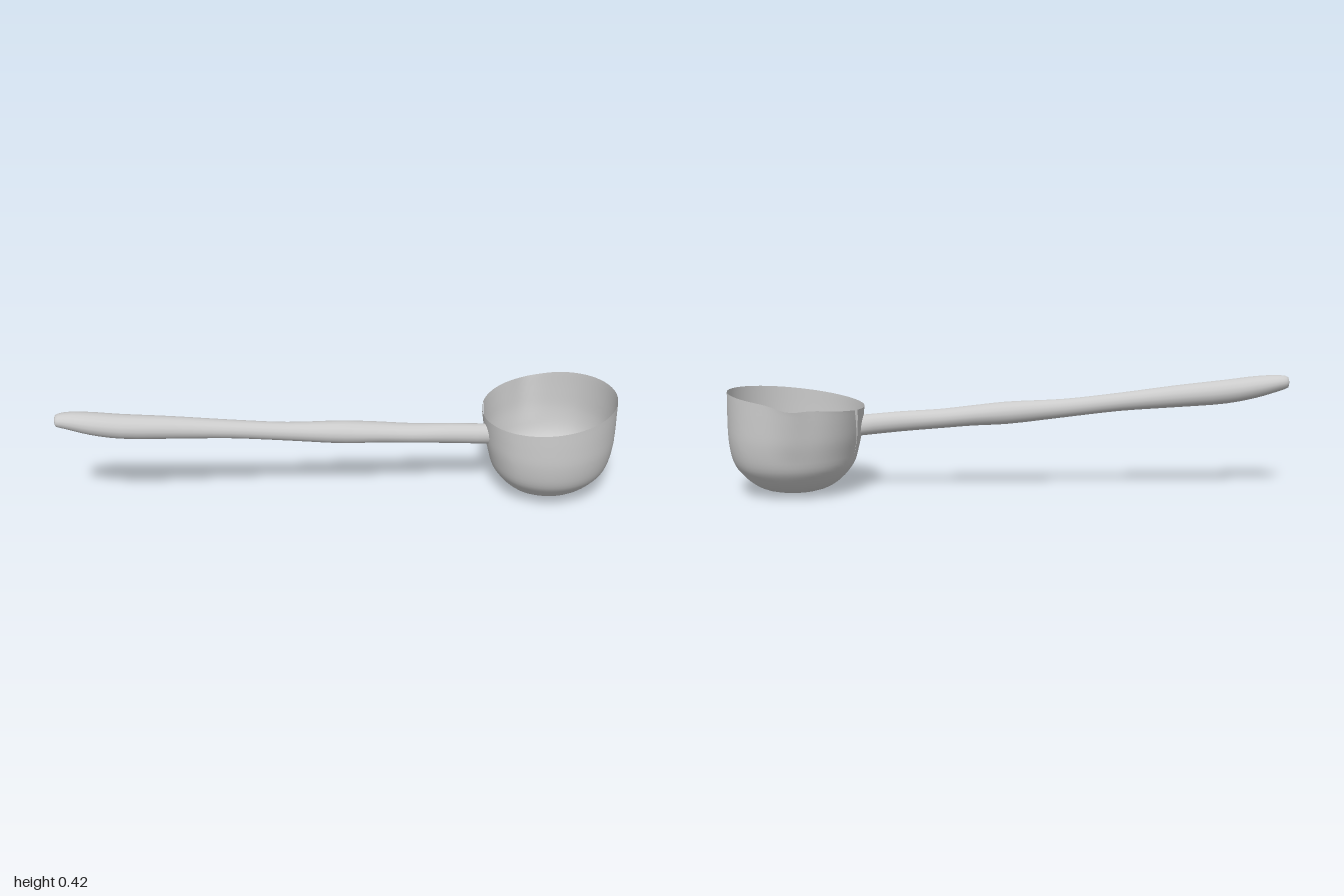
import * as THREE from 'three';
import { mergeVertices } from 'three/addons/utils/BufferGeometryUtils.js';

const material = new THREE.MeshStandardMaterial({ color: 0xcccccc, side: THREE.DoubleSide });

// Smooth surface from a grid of points: rows x columns, seams welded where they touch
function gridMesh(name, rows, cols, point) {
  const positions = [], index = [];
  for (let i = 0; i <= rows; i++)
    for (let j = 0; j <= cols; j++) positions.push(...point(i / rows, j / cols));
  for (let i = 0; i < rows; i++)
    for (let j = 0; j < cols; j++) {
      const a = i * (cols + 1) + j, b = a + cols + 1;
      index.push(a, a + 1, b, a + 1, b + 1, b);
    }
  let geometry = new THREE.BufferGeometry();
  geometry.setAttribute('position', new THREE.Float32BufferAttribute(positions, 3));
  geometry.setIndex(index);
  geometry = mergeVertices(geometry, 1e-5);
  geometry.computeVertexNormals();
  const mesh = new THREE.Mesh(geometry, material);
  mesh.name = name;
  return mesh;
}

// Angular bump centred on the pouring lip at the back
const rad = THREE.MathUtils.degToRad;
function lip(angle, width) {
  const d = Math.atan2(Math.sin(angle - rad(92)), Math.cos(angle - rad(92)));
  return Math.exp(-((d / rad(width)) ** 2));
}

// Thin bowl: round base, slanted rim, pointed lip and a crack beside the handle
function createBowl() {
  const profile = new THREE.CatmullRomCurve3([
    [0, 0.003], [0.2, 0.006], [0.57, 0.03], [0.81, 0.078], [0.93, 0.125],
    [0.99, 0.2], [1, 0.27], [1, 0.34],
  ].map(([r, y]) => new THREE.Vector3(r, y, 0)));
  return gridMesh('bowl', 28, 64, (v, u) => {
    const p = profile.getPoint(v);
    const up = THREE.MathUtils.clamp((p.y - 0.15) / 0.19, 0, 1);
    const gap = 0.09 * up;
    const angle = rad(171) - rad(13) * up + gap / 2 + u * (2 * Math.PI - gap);
    const base = 0.244 - 0.03 * Math.max(0, Math.cos(angle - rad(135)));
    const rim = 0.242 - 0.012 * lip(angle, 50) + 0.018 * lip(angle, 12);
    const r = p.x * THREE.MathUtils.lerp(base, rim, up);
    const x = r * Math.cos(angle);
    const y = p.y + up * up * (0.125 * x - 0.012 * lip(angle, 14));
    return [0.75 + x, y, -r * Math.sin(angle)];
  });
}

// Handle: oval sections given as x, bottom, top, back, front
function createHandle() {
  const sections = [
    [-1, 0.395, 0.4, -0.02, -0.015], [-0.995, 0.38, 0.418, -0.04, 0.002],
    [-0.96, 0.367, 0.425, -0.055, 0.012], [-0.88, 0.342, 0.421, -0.06, 0.028],
    [-0.78, 0.322, 0.408, -0.056, 0.034], [-0.6, 0.308, 0.387, -0.047, 0.033],
    [-0.4, 0.294, 0.36, -0.037, 0.031], [-0.2, 0.27, 0.337, -0.03, 0.034],
    [0, 0.246, 0.327, -0.036, 0.049], [0.12, 0.24, 0.314, -0.034, 0.05],
    [0.24, 0.23, 0.3, -0.027, 0.05], [0.38, 0.218, 0.291, -0.021, 0.05],
    [0.522, 0.203, 0.278, -0.017, 0.05],
  ];
  const centers = new THREE.CatmullRomCurve3(
    sections.map(([x, b, t, k, f]) => new THREE.Vector3(x, (b + t) / 2, (k + f) / 2)));
  const radii = new THREE.CatmullRomCurve3(
    sections.map(([x, b, t, k, f]) => new THREE.Vector3(x, (t - b) / 2, (f - k) / 2)));
  return gridMesh('handle', 36, 16, (v, u) => {
    const c = centers.getPoint(v), r = radii.getPoint(v);
    const angle = u * 2 * Math.PI;
    const size = v === 0 ? 0 : 1;
    return [c.x, c.y + size * r.y * Math.cos(angle), c.z + size * r.z * Math.sin(angle)];
  });
}

export function createModel() {
  const group = new THREE.Group();
  group.name = 'ladle';
  group.add(createBowl(), createHandle());
  return group;
}
